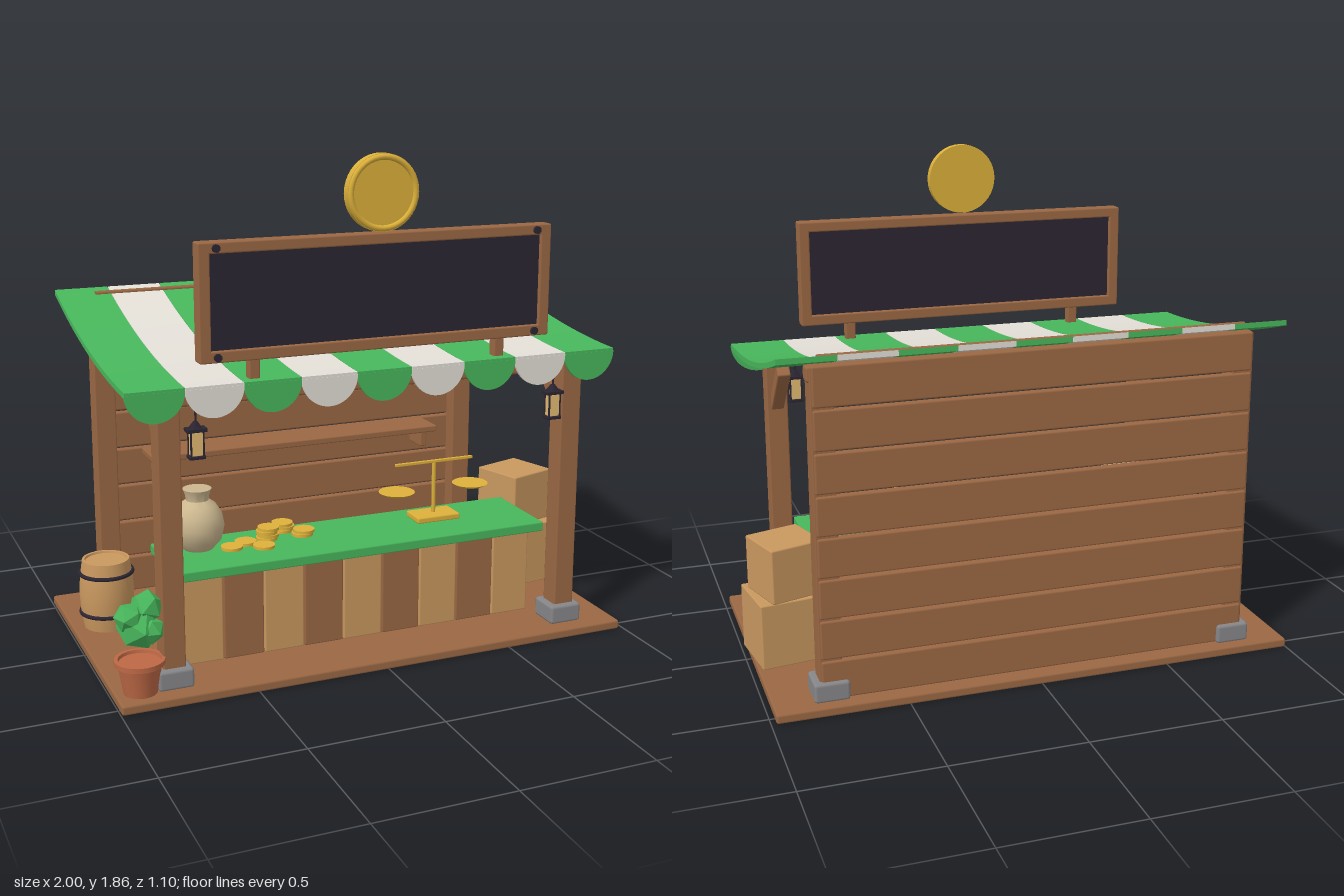
import * as THREE from 'three';
import { RoundedBoxGeometry } from 'three/addons/geometries/RoundedBoxGeometry.js';
import { toCreasedNormals } from 'three/addons/utils/BufferGeometryUtils.js';

const mat = (name, color) => Object.assign(new THREE.MeshStandardMaterial({ color }), { name });

export function createModel() {
  const wood = mat('brown wood', 0x9b6844);
  const tan = mat('light wood', 0xc9985f);
  const green = mat('green cloth and leaves', 0x48b75c);
  const white = mat('white cloth', 0xe4e0d8);
  const stone = mat('grey stone', 0x87878a);
  const dark = mat('dark slate', 0x2b2532);
  const gold = mat('gold', 0xdcb03a);
  const clay = mat('terracotta', 0xbd6845);
  const sackcloth = mat('beige sackcloth', 0xcbb78f);
  const glow = mat('lantern glow', 0xe2ba70);

  const root = new THREE.Group();
  root.name = 'marketStall';
  const stall = new THREE.Group();
  stall.name = 'stall';
  stall.position.x = -0.006;
  root.add(stall);

  const add = (name, geo, material, x = 0, y = 0, z = 0, parent = stall) => {
    const m = new THREE.Mesh(geo, material);
    m.name = name;
    m.position.set(x, y, z);
    parent.add(m);
    return m;
  };
  const group = (name, x, y, z) => {
    const g = new THREE.Group();
    g.name = name;
    g.position.set(x, y, z);
    stall.add(g);
    return g;
  };
  // softened box given by its limits
  const box = (name, material, x0, x1, y0, y1, z0, z1, parent = stall, r = 0.006) => {
    const w = x1 - x0, h = y1 - y0, d = z1 - z0;
    const geo = new RoundedBoxGeometry(w, h, d, 1, Math.min(r, w / 4, h / 4, d / 4));
    return add(name, geo, material, (x0 + x1) / 2, (y0 + y1) / 2, (z0 + z1) / 2, parent);
  };
  const disc = (r, h, r2 = r, n = 28) => new THREE.CylinderGeometry(r, r2, h, n);
  const lathe = (pts, n = 28) =>
    toCreasedNormals(new THREE.LatheGeometry(pts.map(p => new THREE.Vector2(...p)), n), 0.7);

  // floor
  box('floor', wood, -0.992, 0.988, 0, 0.036, -0.55, 0.55, stall, 0.012);

  // posts, stone feet, braces
  for (const s of [-1, 1]) {
    const x = s * 0.78;
    for (const [z, top] of [[0.43, 1.09], [-0.45, 1.25]]) {
      box('post', wood, x - 0.041, x + 0.041, 0.036, top, z - 0.042, z + 0.042);
      box('stoneFoot', stone, x - 0.065, x + 0.065, 0.036, 0.11, z - 0.065, z + 0.065, stall, 0.012);
    }
    const brace = box('brace', wood, x - 0.025, x + 0.025, 0.84, 1.1, 0.29, 0.34);
    brace.rotation.x = -Math.PI / 4;
  }
  box('frontBeam', wood, -0.83, 0.83, 1.035, 1.095, 0.4, 0.46, stall, 0.012);
  box('backBeam', wood, -0.83, 0.83, 1.19, 1.25, -0.48, -0.42, stall, 0.012);

  // back wall planks
  const pitch = 0.1525;
  for (let i = 0; i < 8; i++) {
    const y = 0.04 + i * pitch;
    box('wallPlank', wood, -0.815, 0.815, y, y + pitch - 0.007, -0.5, -0.468, stall, 0.008);
  }

  // shelves on brackets
  for (const y of [0.863, 0.615]) {
    box('shelf', wood, -0.625, 0.62, y, y + 0.027, -0.47, -0.32);
    for (const x of [-0.575, 0.575])
      box('shelfBracket', wood, x - 0.015, x + 0.015, y - 0.07, y, -0.47, -0.355);
  }

  // sagging striped awning with scalloped edge
  const stripe = 0.208, n = 14;
  const upper = [], lower = [];
  for (let i = 0; i <= n; i++) {
    const t = i / n, z = 0.5 - 1.02 * t, y = 1.113 + 0.03 * t + 0.15 * t * t;
    upper.push(new THREE.Vector2(z, y));
    lower.unshift(new THREE.Vector2(z, y - 0.02));
  }
  const profile = new THREE.Shape([...upper, ...lower]);
  const scallop = new THREE.Shape();
  scallop.moveTo(stripe / 2, 0);
  scallop.absarc(0, 0, stripe / 2, 0, -Math.PI, true);
  scallop.closePath();
  for (let i = 0; i < 9; i++) {
    const x = (i - 4) * stripe, cloth = i % 2 ? white : green;
    const roof = new THREE.ExtrudeGeometry(profile, { depth: stripe - 0.002, bevelEnabled: false });
    roof.rotateY(-Math.PI / 2);
    add('awningStripe', toCreasedNormals(roof, 0.4), cloth, x + stripe / 2 - 0.001);
    const flap = new THREE.ExtrudeGeometry(scallop, { depth: 0.011, bevelEnabled: false, curveSegments: 20 });
    add('awningScallop', flap, cloth, x, 1.104, 0.49);
  }
  const rod = add('awningRod', disc(0.01, 1.58, 0.01, 10), wood, 0, 1.277, -0.47);
  rod.rotation.z = Math.PI / 2;

  // sign board in a frame
  box('signPanel', dark, -0.64, 0.64, 1.21, 1.56, 0.43, 0.462, stall, 0.002);
  for (const [y0, y1] of [[1.18, 1.221], [1.549, 1.588]])
    box('signRail', wood, -0.667, 0.667, y0, y1, 0.415, 0.475);
  for (const s of [-1, 1]) {
    box('signStile', wood, s * 0.646 - 0.021, s * 0.646 + 0.021, 1.2, 1.57, 0.415, 0.475);
    box('signSupport', wood, s * 0.47 - 0.02, s * 0.47 + 0.02, 1.06, 1.19, 0.425, 0.465);
    for (const y of [1.2, 1.568])
      add('signBolt', disc(0.014, 0.02, 0.014, 12), dark, s * 0.605, y, 0.476).rotation.x = Math.PI / 2;
  }

  // big coin above the sign, with a raised ring on its front
  const coin = group('signCoin', -0.002, 1.726, 0.463);
  add('coinFace', disc(0.134, 0.034, 0.134, 40), gold, 0, 0, 0, coin).rotation.x = Math.PI / 2;
  add('coinRing', new THREE.TorusGeometry(0.122, 0.011, 10, 40), gold, 0, 0, 0.016, coin);

  // counter
  box('counterBody', tan, -0.7, 0.7, 0.036, 0.38, 0.07, 0.3);
  for (let i = 0; i < 9; i++) {
    const x = -0.705 + i * 0.1567;
    box('counterBoard', i % 2 ? wood : tan, x, x + 0.154, 0.04, 0.38, 0.29, 0.32);
  }
  box('counterTop', green, -0.737, 0.737, 0.378, 0.416, 0.03, 0.375);

  // sack
  add('sack', lathe([[0, 0.415], [0.055, 0.418], [0.087, 0.455], [0.098, 0.505], [0.09, 0.55],
    [0.068, 0.585], [0.042, 0.604], [0.044, 0.622], [0.053, 0.646], [0.04, 0.648], [0, 0.64]]),
    sackcloth, -0.587, 0, 0.147);

  // coins on the counter: x, z, count
  for (const [x, z, count] of [[-0.32, 0.15, 4], [-0.235, 0.085, 3], [-0.18, 0.155, 2],
    [-0.475, 0.2, 1], [-0.41, 0.165, 1], [-0.36, 0.23, 1]])
    for (let i = 0; i < count; i++)
      add('coin', disc(0.041, 0.011, 0.041, 18), gold, x + (i % 2) * 0.006, 0.422 + i * 0.0125, z);

  // weighing scale
  const scale = group('scale', 0.365, 0.416, 0.165);
  box('scaleBase', gold, -0.09, 0.09, 0, 0.024, -0.055, 0.055, scale);
  add('scalePole', disc(0.008, 0.22, 0.008, 10), gold, 0, 0.12, 0, scale);
  box('scaleBeam', gold, -0.165, 0.165, 0.224, 0.235, -0.006, 0.006, scale, 0.002);
  for (const s of [-1, 1])
    add('scalePan', disc(0.07, 0.01, 0.055), gold, s * 0.158, 0.12, 0, scale);

  // lanterns
  for (const s of [-1, 1]) {
    const lamp = group('lantern', s * 0.69, 0.862, 0.485);
    box('lanternBase', dark, -0.029, 0.029, 0, 0.012, -0.021, 0.021, lamp, 0.003);
    box('lanternGlass', glow, -0.021, 0.021, 0.012, 0.094, -0.017, 0.017, lamp, 0.002);
    for (const x of [-0.022, 0.022]) for (const z of [-0.016, 0.016])
      box('lanternBar', dark, x - 0.003, x + 0.003, 0.01, 0.098, z - 0.003, z + 0.003, lamp, 0.001);
    box('lanternCap', dark, -0.036, 0.036, 0.094, 0.108, -0.022, 0.022, lamp, 0.003);
    const peak = add('lanternPeak', disc(0.008, 0.025, 0.028, 4), dark, 0, 0.118, 0, lamp);
    peak.rotation.y = Math.PI / 4;
    add('lanternHook', disc(0.004, 0.06, 0.004, 8), dark, 0, 0.15, 0, lamp);
  }

  // stacked crates
  const crate = (x, y, z, w, h, turn) => {
    const c = add('crate', new RoundedBoxGeometry(w, h, w, 1, 0.006), tan, x, y + h / 2, z);
    c.rotation.y = turn;
  };
  crate(0.867, 0.036, -0.053, 0.245, 0.254, 0.14);
  crate(0.854, 0.29, -0.063, 0.212, 0.21, 0.3);

  // barrel
  const barrel = group('barrel', -0.857, 0.036, -0.18);
  add('barrelBody', lathe([[0, 0], [0.09, 0], [0.1, 0.065], [0.104, 0.133], [0.1, 0.2],
    [0.09, 0.268], [0.08, 0.268], [0.078, 0.26], [0, 0.26]]), tan, 0, 0, 0, barrel);
  for (const y of [0.06, 0.216]) {
    const hoop = add('barrelHoop', new THREE.TorusGeometry(0.1, 0.008, 8, 28), dark, 0, y, 0, barrel);
    hoop.rotation.x = Math.PI / 2;
  }

  // potted shrub
  const plant = group('pottedShrub', -0.901, 0.036, 0.455);
  add('pot', lathe([[0, 0], [0.06, 0], [0.078, 0.106], [0.089, 0.106], [0.089, 0.124],
    [0.076, 0.124], [0.074, 0.112], [0, 0.112]], 20), clay, 0, 0, 0, plant);
  for (const [x, y, z, r] of [[0, 0.24, 0, 0.08], [-0.035, 0.285, 0.01, 0.055],
    [0.03, 0.305, -0.01, 0.062], [0.035, 0.235, 0.03, 0.05], [-0.02, 0.25, -0.035, 0.055]]) {
    const tuft = add('leafTuft', new THREE.IcosahedronGeometry(r, 0), green, x, y, z, plant);
    tuft.rotation.set(x * 20, y * 9, z * 15);
  }
  return root;
}
